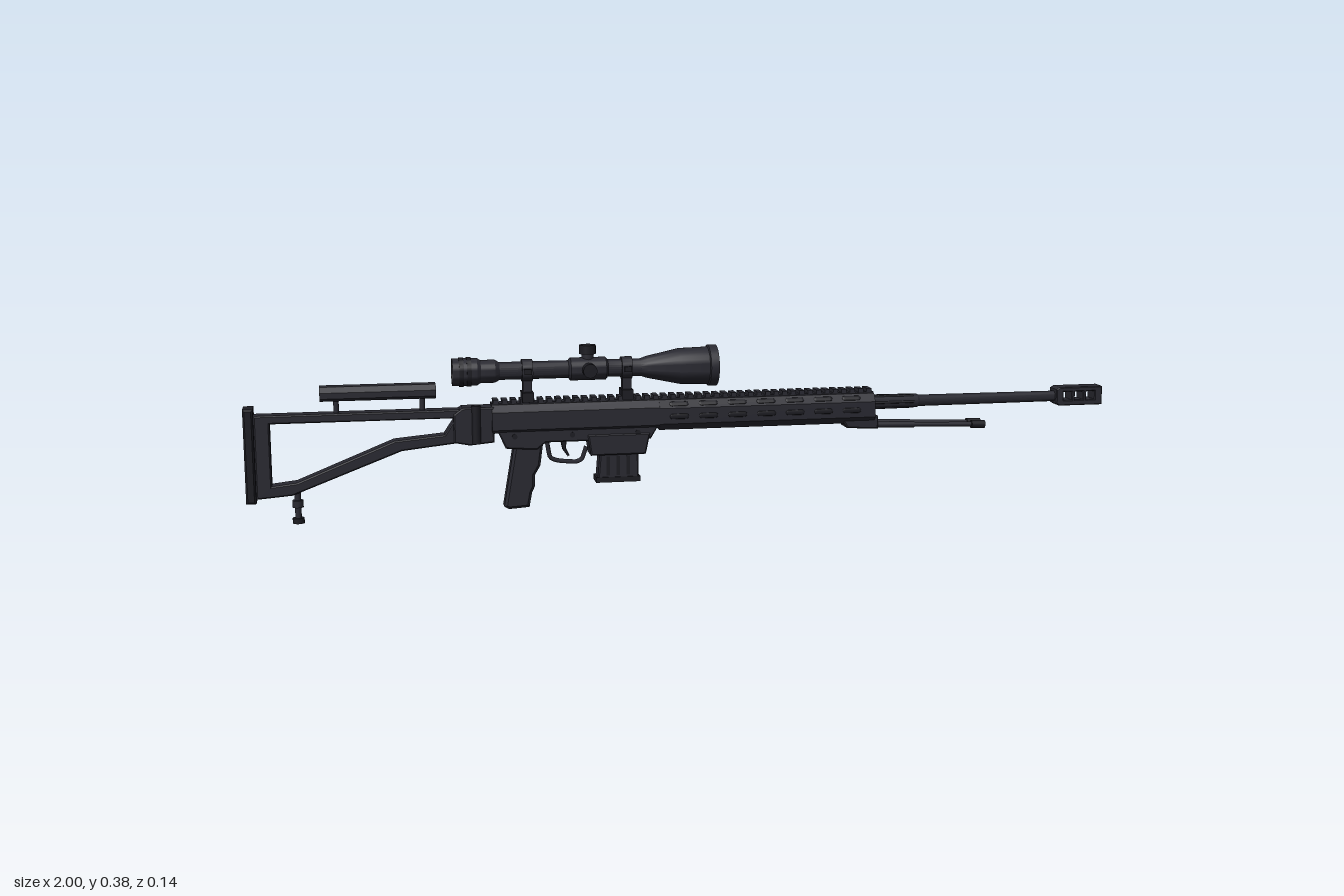
import * as THREE from 'three';
import { toCreasedNormals } from 'three/addons/utils/BufferGeometryUtils.js';

const mat = (name, color) => Object.assign(new THREE.MeshStandardMaterial({ color }), { name });

export function createModel() {
  const root = new THREE.Group();
  root.name = 'rifle';
  const model = new THREE.Group();
  model.name = 'body';
  model.position.z = 0.024;
  root.add(model);

  const body = mat('charcoal', 0x282830);
  const dark = mat('black', 0x1b1b21);
  const steel = mat('steel', 0x8f8f92);
  const glass = mat('lensGlass', 0x9db8c6);

  const add = (name, geo, material = body, x = 0, y = 0, z = 0) => {
    const m = new THREE.Mesh(geo, material);
    m.name = name;
    m.position.set(x, y, z);
    model.add(m);
    return m;
  };
  // box given by x and y ranges and its width about the centre plane
  const box = (name, x0, x1, y0, y1, w, material = body, z = 0) =>
    add(name, new THREE.BoxGeometry(x1 - x0, y1 - y0, w), material, (x0 + x1) / 2, (y0 + y1) / 2, z);
  const toShape = pts => new THREE.Shape(pts.map(p => new THREE.Vector2(p[0], p[1])));
  // side outline with bevelled edges
  const plate = (name, pts, w, material = body, holes = [], b = 0.003) => {
    const s = toShape(pts);
    holes.forEach(h => s.holes.push(new THREE.Path(h.map(p => new THREE.Vector2(p[0], p[1])))));
    const g = new THREE.ExtrudeGeometry(s, {
      depth: w - 2 * b, bevelEnabled: b > 0, bevelSize: b, bevelOffset: -b, bevelThickness: b, bevelSegments: 1
    });
    return add(name, g.translate(0, 0, b - w / 2), material);
  };
  // symmetric cross-section [z, y] swept along x
  const prism = (name, x0, x1, half, material = body) => {
    const pts = [...half, ...half.slice().reverse().map(([z, y]) => [-z, y])];
    const g = new THREE.ExtrudeGeometry(toShape(pts), { depth: x1 - x0, bevelEnabled: false });
    return add(name, g.rotateY(Math.PI / 2), material, x0);
  };
  // turned part along x, profile of [x, radius]
  const turned = (name, prof, y, material = body, z = 0) => {
    const g = new THREE.LatheGeometry(prof.map(([x, r]) => new THREE.Vector2(r, x)), 28).rotateZ(-Math.PI / 2);
    return add(name, toCreasedNormals(g, 0.5), material, 0, y, z);
  };
  const rod = (name, a, b, r, material = body, r2 = r) => {
    const p = new THREE.Vector3(...a), d = new THREE.Vector3(...b).sub(p);
    const m = add(name, new THREE.CylinderGeometry(r2, r, d.length(), 16), material);
    m.position.copy(p).addScaledVector(d, 0.5);
    m.quaternion.setFromUnitVectors(new THREE.Vector3(0, 1, 0), d.normalize());
    return m;
  };

  // skeleton stock
  plate('stockFrame', [
    [-0.978, 0.06], [-0.90, 0.066], [-0.66, 0.157], [-0.52, 0.172], [-0.52, 0.246], [-0.978, 0.246]
  ], 0.04, body, [[
    [-0.944, 0.088], [-0.89, 0.094], [-0.676, 0.18], [-0.565, 0.19], [-0.54, 0.227], [-0.944, 0.227]
  ]]);
  plate('buttPad', [[-1, 0.052], [-0.978, 0.052], [-0.978, 0.262], [-1, 0.262]], 0.058, dark, [], 0.004);
  rod('monopodLeg', [-0.89, 0.01, 0], [-0.89, 0.08, 0], 0.007);
  rod('monopodCollar', [-0.89, 0.036, 0], [-0.89, 0.052, 0], 0.012);
  rod('monopodFoot', [-0.89, 0, 0], [-0.89, 0.012, 0], 0.013, dark);

  // cheek rest on two posts
  prism('cheekRest', -0.835, -0.582, [[0.014, 0.273], [0.025, 0.28], [0.025, 0.293], [0.015, 0.305]]);
  for (const x of [-0.8, -0.612]) rod('cheekPost', [x, 0.24, 0], [x, 0.28, 0], 0.006);

  // folding hinge
  plate('hinge', [[-0.545, 0.172], [-0.51, 0.165], [-0.455, 0.17], [-0.455, 0.25], [-0.525, 0.25], [-0.545, 0.235]], 0.052);
  rod('hingePin', [-0.495, 0.168, 0.021], [-0.495, 0.255, 0.021], 0.011, dark);

  // receiver and handguard
  const hull = [[0.022, 0.185], [0.034, 0.2], [0.034, 0.236], [0.02, 0.254]];
  prism('upperReceiver', -0.46, -0.08, [[0.024, 0.19], [0.032, 0.198], [0.032, 0.238], [0.019, 0.254]]);
  prism('handguard', -0.08, 0.43, hull);
  plate('lowerReceiver', [[-0.45, 0.2], [-0.43, 0.155], [-0.36, 0.15], [-0.34, 0.166], [-0.24, 0.166], [-0.1, 0.166], [-0.08, 0.2]], 0.054);
  plate('magazineWell', [[-0.245, 0.18], [-0.238, 0.132], [-0.112, 0.132], [-0.102, 0.18]], 0.06);
  plate('magazine', [[-0.216, 0.14], [-0.222, 0.074], [-0.128, 0.068], [-0.128, 0.14]], 0.042);
  box('magazineBase', -0.226, -0.124, 0.068, 0.08, 0.047, dark);
  for (const x of [-0.198, -0.175, -0.152]) box('magazineRib', x - 0.004, x + 0.004, 0.084, 0.128, 0.045, dark);

  // top rail teeth
  box('railBase', -0.46, 0.43, 0.25, 0.257, 0.03);
  for (let i = 0; i < 44; i++) box('railTooth', -0.456 + i * 0.0202, -0.444 + i * 0.0202, 0.256, 0.265, 0.036);

  // handguard vents: both flanks and both upper bevels
  const slot = new THREE.CapsuleGeometry(0.006, 0.032, 4, 10).rotateZ(Math.PI / 2).scale(1, 1, 0.25);
  for (const s of [1, -1]) for (let i = 0; i < 7; i++) {
    const x = -0.035 + i * 0.068;
    add('sideVent', slot, dark, x, 0.217, s * 0.034);
    add('upperVent', slot, dark, x, 0.245, s * 0.0272).rotation.x = -s * 0.66;
  }

  // ejection port, bolt and handle
  box('ejectionPort', -0.315, -0.185, 0.21, 0.238, 0.004, dark, -0.032);
  box('boltBody', -0.305, -0.205, 0.217, 0.234, 0.006, steel, -0.033);
  rod('boltHandle', [-0.375, 0.22, -0.025], [-0.395, 0.195, -0.072], 0.005, steel);
  const knob = add('boltKnob', new THREE.SphereGeometry(0.014, 20, 14), dark, -0.395, 0.19, -0.078);
  knob.scale.set(1, 0.95, 1.15);
  for (const x of [-0.41, -0.28, -0.13]) rod('receiverPin', [x, 0.182, -0.029], [x, 0.182, 0.029], 0.006, dark);

  // grip, trigger and guard
  plate('grip', [
    [-0.41, 0.165], [-0.415, 0.135], [-0.435, 0.02], [-0.425, 0.014], [-0.378, 0.017], [-0.372, 0.05],
    [-0.365, 0.065], [-0.365, 0.09], [-0.352, 0.112], [-0.345, 0.165]
  ], 0.042, body, [], 0.006);
  const guard = new THREE.CatmullRomCurve3([
    [-0.335, 0.165], [-0.328, 0.128], [-0.31, 0.119], [-0.27, 0.115], [-0.255, 0.122], [-0.245, 0.15]
  ].map(p => new THREE.Vector3(p[0], p[1], 0)), false, 'catmullrom', 0.3);
  add('triggerGuard', new THREE.TubeGeometry(guard, 28, 0.005, 8).scale(1, 1, 2));
  plate('trigger', [[-0.305, 0.17], [-0.3, 0.145], [-0.288, 0.128], [-0.284, 0.131], [-0.292, 0.148], [-0.29, 0.17]], 0.01, dark, [], 0.001);

  // barrel and muzzle brake
  const by = 0.23;
  turned('barrel', [[0.42, 0], [0.42, 0.017], [0.54, 0.016], [0.545, 0.0135], [0.89, 0.0125], [0.89, 0]], by);
  for (let i = 0; i < 6; i++) {
    const a = i * Math.PI / 3;
    rod('barrelFlute', [0.435, by + 0.0155 * Math.sin(a), 0.0155 * Math.cos(a)],
      [0.53, by + 0.0147 * Math.sin(a), 0.0147 * Math.cos(a)], 0.003, dark);
  }
  const ports = [0.902, 0.931, 0.96].map(x => [[x, 0.222], [x + 0.021, 0.222], [x + 0.021, 0.242], [x, 0.242]]);
  plate('muzzleBrake', [[0.884, 0.214], [0.892, 0.209], [1, 0.209], [1, 0.253], [0.892, 0.253], [0.884, 0.248]], 0.042, body, ports, 0.002);
  turned('muzzleBore', [[0.9985, 0.0085], [1, 0.0085], [1, 0]], by, dark);

  // folded bipod
  plate('bipodMount', [[0.355, 0.19], [0.365, 0.174], [0.44, 0.17], [0.44, 0.2], [0.355, 0.2]], 0.054);
  for (const z of [0.016, -0.016]) {
    rod('bipodLeg', [0.38, 0.181, z], [0.69, 0.171, z], 0.0055);
    rod('bipodSleeve', [0.42, 0.179, z], [0.53, 0.176, z], 0.0075);
    rod('bipodFoot', [0.672, 0.1715, z], [0.705, 0.1705, z], 0.0095, dark);
  }

  // telescopic sight
  const sy = 0.328;
  turned('scopeTube', [
    [-0.53, 0], [-0.53, 0.025], [-0.545, 0.026], [-0.545, 0.031], [-0.49, 0.031], [-0.482, 0.026], [-0.45, 0.026], [-0.44, 0.02],
    [-0.285, 0.02], [-0.28, 0.026], [-0.2, 0.026], [-0.195, 0.02], [-0.12, 0.02], [-0.105, 0.025],
    [-0.03, 0.041], [0.035, 0.043], [0.037, 0.047], [0.056, 0.047], [0.056, 0.043], [0.042, 0.043], [0.042, 0]
  ], sy);
  for (const x of [-0.525, -0.508]) turned('eyepieceRing', [[x - 0.005, 0.03], [x - 0.005, 0.033], [x + 0.005, 0.033], [x + 0.005, 0.03]], sy, dark);
  add('frontLens', new THREE.SphereGeometry(0.043, 28, 16).scale(0.28, 1, 1), glass, 0.043, sy);
  add('rearLens', new THREE.SphereGeometry(0.0255, 24, 14).scale(0.3, 1, 1), glass, -0.532, sy);

  // adjustment turrets
  rod('topTurretBase', [-0.24, sy, 0], [-0.24, 0.362, 0], 0.014);
  rod('topTurret', [-0.24, 0.362, 0], [-0.24, 0.382, 0], 0.019, dark);
  rod('sideTurretBase', [-0.24, sy, 0], [-0.24, sy, -0.04], 0.014);
  rod('sideTurret', [-0.24, sy, -0.038], [-0.24, sy, -0.058], 0.019, dark);
  rod('focusKnob', [-0.24, sy, 0], [-0.24, sy, 0.046], 0.016, dark);

  // scope rings and clamps
  for (const x of [-0.378, -0.152]) {
    turned('scopeRing', [[x - 0.012, 0.019], [x - 0.012, 0.0255], [x + 0.012, 0.0255], [x + 0.012, 0.019]], sy);
    box('ringPost', x - 0.01, x + 0.01, 0.262, 0.31, 0.024);
    box('ringClamp', x - 0.013, x + 0.013, 0.258, 0.28, 0.046, dark);
    for (const s of [1, -1]) box('ringEar', x - 0.008, x + 0.008, sy - 0.006, sy + 0.006, 0.01, dark, s * 0.027);
  }
  return root;
}
